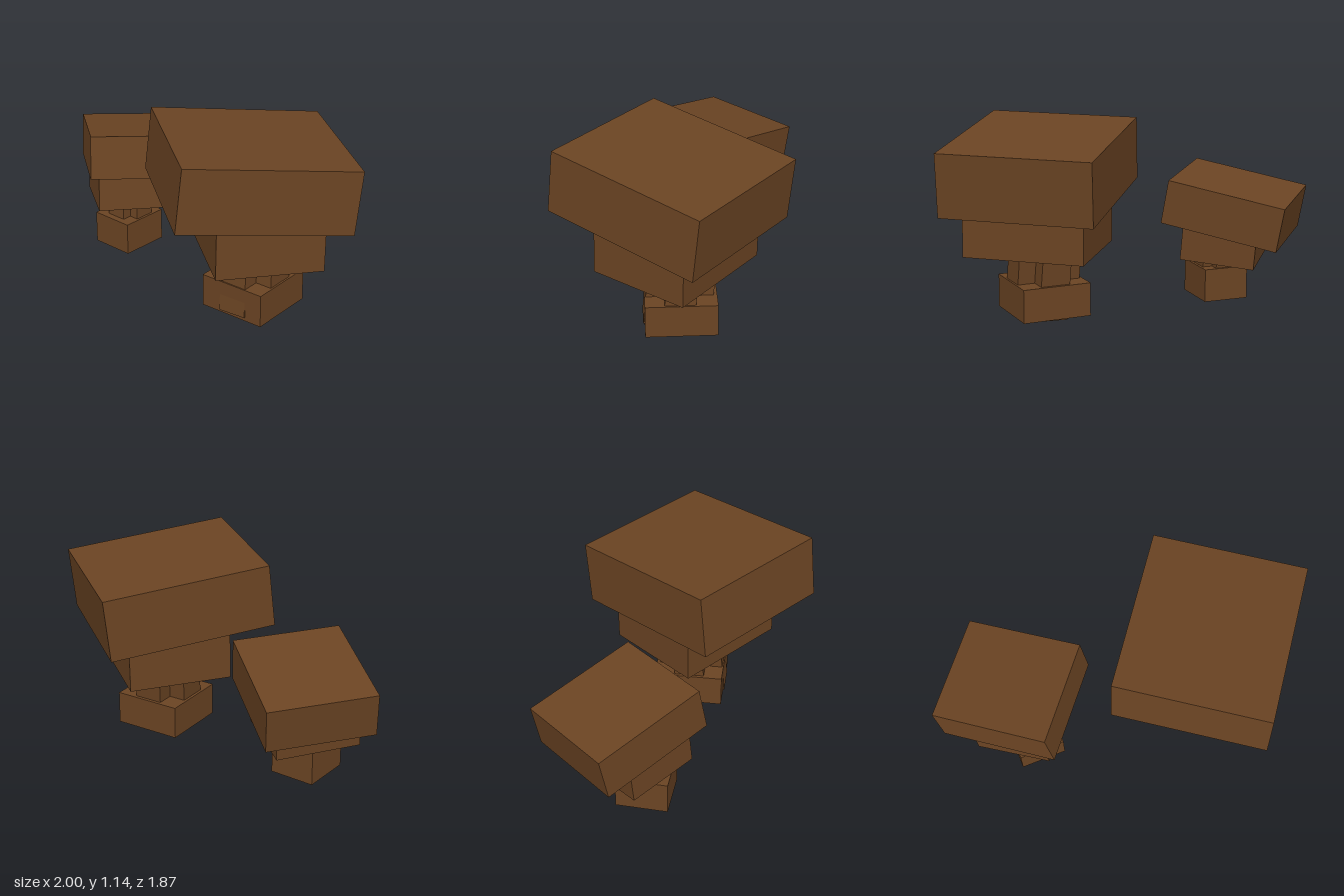
import * as THREE from 'three';

// Box standing on its bottom centre; u and w are its width and depth directions.
function block(name, material, bottom, u, w, width, height, depth) {
  const x = new THREE.Vector3(...u).normalize();
  const y = new THREE.Vector3(...w).cross(x).normalize();
  const z = x.clone().cross(y);
  const geometry = new THREE.BoxGeometry(width, height, depth).translate(0, height / 2, 0);
  const mesh = new THREE.Mesh(geometry, material);
  mesh.name = name;
  mesh.quaternion.setFromRotationMatrix(new THREE.Matrix4().makeBasis(x, y, z));
  mesh.position.set(...bottom);
  return mesh;
}

// Stem made of two crossed planks, leaning slightly backwards.
function crossedStem(material, bottom, yaw, length, thickness, height) {
  const stem = new THREE.Group();
  stem.name = 'stem';
  for (const turn of [0, Math.PI / 2]) {
    const geometry = new THREE.BoxGeometry(length, height, thickness).translate(0, height / 2, 0);
    const plank = new THREE.Mesh(geometry, material);
    plank.name = 'stemPlank';
    plank.rotation.y = yaw + turn;
    stem.add(plank);
  }
  stem.rotation.x = -0.1;
  stem.position.set(...bottom);
  return stem;
}

export function createModel() {
  const brown = new THREE.MeshStandardMaterial({ color: 0x6b4423, flatShading: true });
  brown.name = 'brown';

  // Large mushroom-like stack
  const large = new THREE.Group();
  large.name = 'largeStack';
  large.add(
    block('base', brown, [0.348, 0.02, 0.241], [0.38, 0, 0.173], [-0.173, 0, 0.38], 0.42, 0.2, 0.42),
    crossedStem(brown, [0.348, 0.022, 0.268], -0.427, 0.39, 0.18, 0.48),
    block('lowerCap', brown, [0.36, 0.398, 0.268], [0.56, -0.01, -0.275], [0.32, 0.007, 0.65], 0.624, 0.4, 0.725),
    block('upperCap', brown, [0.31, 0.7, 0.29], [0.9, -0.11, -0.44], [0.41, 0.01, 0.82], 1.008, 0.382, 0.917),
  );

  // Small mushroom-like stack
  const small = new THREE.Group();
  small.name = 'smallStack';
  small.add(
    block('base', brown, [-0.585, 0.035, -0.33], [0.245, 0, 0.131], [-0.131, 0, 0.245], 0.278, 0.2, 0.306),
    crossedStem(brown, [-0.58, 0.04, -0.325], -0.49, 0.25, 0.13, 0.33),
    block('lowerCap', brown, [-0.575, 0.302, -0.4], [0.45, -0.02, -0.22], [0.19, 0.038, 0.39], 0.5, 0.28, 0.445),
    block('upperCap', brown, [-0.565, 0.497, -0.455], [0.585, -0.03, -0.24], [0.27, 0.13, 0.64], 0.633, 0.266, 0.707),
  );

  const model = new THREE.Group();
  model.name = 'blockMushrooms';
  model.add(large, small);
  return model;
}
